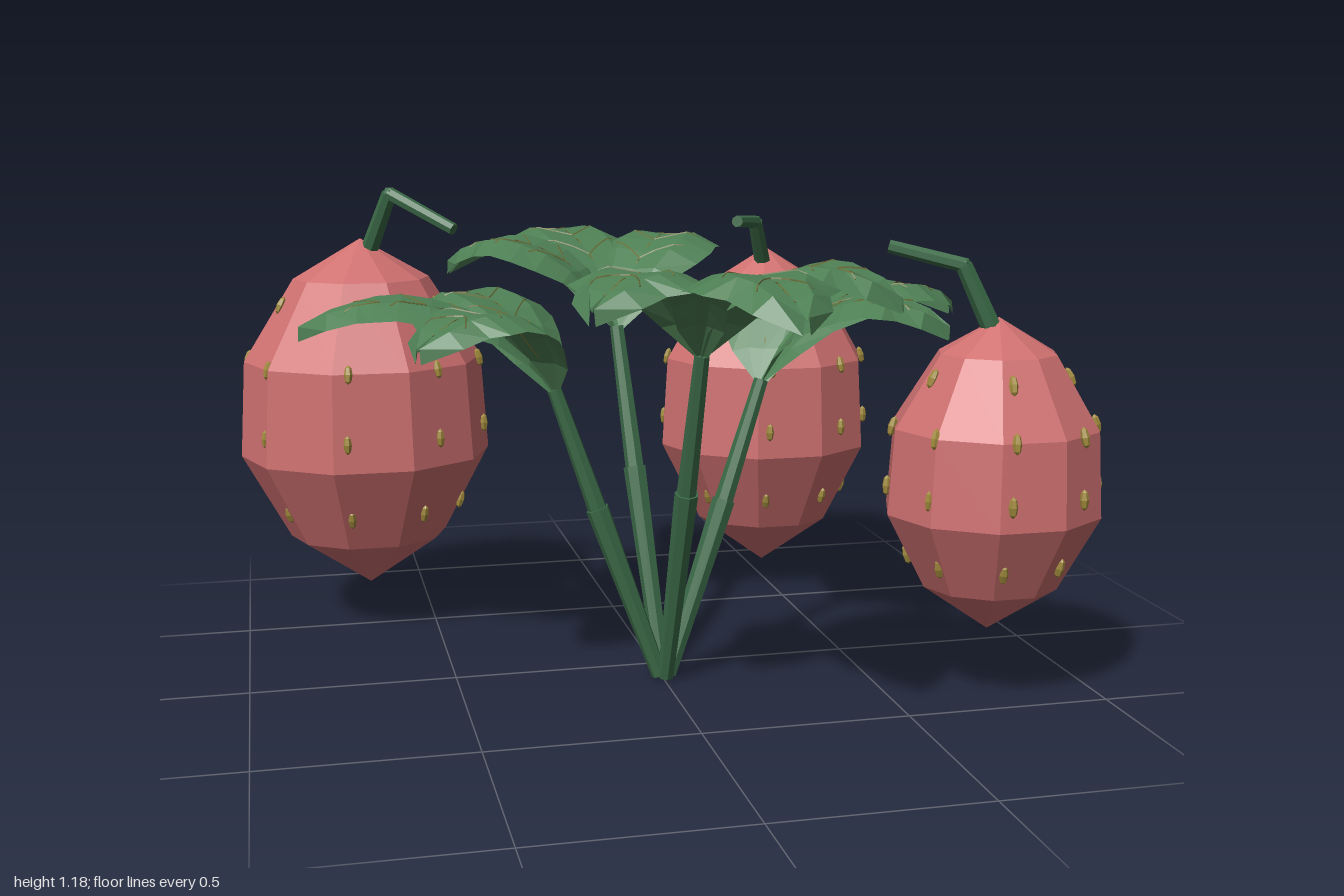
import * as THREE from 'three';
import { mergeGeometries } from 'three/addons/utils/BufferGeometryUtils.js';

const mat = (name, color, side = THREE.FrontSide) => {
  const m = new THREE.MeshStandardMaterial({ color, side });
  m.name = name;
  return m;
};

// Split the faces so every facet gets its own normal
function flat(geometry) {
  const g = geometry.index ? geometry.toNonIndexed() : geometry;
  g.deleteAttribute('uv');
  g.computeVertexNormals();
  return g;
}

function addMesh(parent, name, geometry, material) {
  const m = new THREE.Mesh(flat(geometry), material);
  m.name = name;
  parent.add(m);
  return m;
}

// Tapered rod between two points
function rod(a, b, r0, r1, sides = 7) {
  const dir = b.clone().sub(a);
  const g = new THREE.CylinderGeometry(r1, r0, dir.length(), sides);
  const q = new THREE.Quaternion().setFromUnitVectors(new THREE.Vector3(0, 1, 0), dir.normalize());
  g.applyQuaternion(q);
  const mid = a.clone().add(b).multiplyScalar(0.5);
  return g.translate(mid.x, mid.y, mid.z);
}

// Piecewise linear lookup
function lerpTable(xs, ys, x) {
  let i = 0;
  while (i < xs.length - 2 && x > xs[i + 1]) i++;
  return THREE.MathUtils.lerp(ys[i], ys[i + 1], (x - xs[i]) / (xs[i + 1] - xs[i]));
}

// Leaflet rule: length fraction, half width and height of the midrib
const T = [0, 0.1, 0.22, 0.35, 0.48, 0.6, 0.7, 0.76, 0.88, 1];
const W = [0.012, 0.08, 0.115, 0.15, 0.165, 0.155, 0.15, 0.11, 0.085, 0.008];
const H = [0, 0.08, 0.145, 0.185, 0.208, 0.22, 0.217, 0.21, 0.19, 0.155];
const S = [-1, -0.5, 0, 0.5, 1];

function leafPoint(t, s, length, lift = 0) {
  const w = lerpTable(T, W, t);
  const a = Math.abs(s);
  const bend = (a < 0.5 ? 0.016 * a : 0.008 - 0.07 * (a - 0.5)) * Math.min(1, t * 3);
  return [s * w, lerpTable(T, H, t) + bend + lift, t * length];
}

function leafletBlade(length) {
  const pos = [], idx = [], n = S.length;
  for (const t of T) for (const s of S) pos.push(...leafPoint(t, s, length));
  for (let i = 0; i < T.length - 1; i++) {
    for (let j = 0; j < n - 1; j++) {
      const a = i * n + j, b = a + 1, c = a + n, d = c + 1;
      idx.push(a, c, b, b, c, d);
    }
  }
  const g = new THREE.BufferGeometry();
  g.setAttribute('position', new THREE.Float32BufferAttribute(pos, 3));
  g.setIndex(idx);
  return g;
}

// Midrib and paired side veins lying on the blade
function leafletVeins(length) {
  const parts = [];
  const line = (t0, s0, t1, s1) => {
    const steps = 5;
    for (let i = 0; i < steps; i++) {
      const p = [i / steps, (i + 1) / steps].map(k => new THREE.Vector3(
        ...leafPoint(t0 + (t1 - t0) * k, s0 + (s1 - s0) * k, length, 0.001)));
      parts.push(rod(p[0], p[1], 0.002, 0.002, 3));
    }
  };
  line(0.12, 0, 0.9, 0);
  for (const t of [0.3, 0.5, 0.68]) for (const side of [-1, 1]) line(t, 0, t + 0.13, side * 0.6);
  return mergeGeometries(parts);
}

export function createModel() {
  const root = new THREE.Group();
  root.name = 'berryPlant';
  const berryRed = mat('berry red', 0xcf7070);
  const seedGold = mat('seed gold', 0xa08a3c);
  const stemGreen = mat('stem green', 0x3b6a47);
  const leafGreen = mat('leaf green', 0x4e7f54, THREE.DoubleSide);
  const veinOlive = mat('vein olive', 0x6c6f38);
  const V = (x, y, z) => new THREE.Vector3(x, y, z);

  // Berries: centre, height range, radius and crooked stem
  const profileY = [0, 0.15, 0.39, 0.66, 0.89, 1];
  const profileR = [0, 0.63, 1, 0.95, 0.54, 0];
  const berries = [
    { name: 'leftBackBerry', x: -0.67, z: -0.54, y0: 0.1, y1: 1.04, r: 0.33,
      stem: [V(-0.65, 1.0, -0.53), V(-0.595, 1.16, -0.46), V(-0.445, 1.075, -0.33)] },
    { name: 'backBerry', x: 0.495, z: -0.7, y0: 0.05, y1: 0.98, r: 0.305,
      stem: [V(0.485, 0.92, -0.68), V(0.435, 1.06, -0.6), V(0.335, 1.075, -0.435)] },
    { name: 'frontBerry', x: 0.73, z: 0.4, y0: 0.16, y1: 0.91, r: 0.26,
      stem: [V(0.715, 0.88, 0.4), V(0.645, 1.03, 0.385), V(0.49, 1.07, 0.31)] },
  ];
  for (const b of berries) {
    const group = new THREE.Group();
    group.name = b.name;
    root.add(group);
    const h = b.y1 - b.y0, depth = 0.925;
    const pts = profileY.map((y, i) => new THREE.Vector2(profileR[i] * b.r, y * h));
    const body = new THREE.LatheGeometry(pts, 10);
    body.rotateY(Math.PI / 2).scale(1, 1, depth).translate(b.x, b.y0, b.z);
    addMesh(group, 'berryBody', body, berryRed);

    // Rows of seeds round the skin
    const seeds = [];
    for (const [row, count] of [[0.245, 8], [0.47, 8], [0.66, 8], [0.82, 5]]) {
      for (let i = 0; i < count; i++) {
        const a = (i / count) * Math.PI * 2 - 0.25 + row * 0.1;
        const r = lerpTable(profileY, profileR, row) * b.r * 0.98;
        const seed = new THREE.SphereGeometry(1, 6, 4);
        seed.scale(0.011, 0.025, 0.011).rotateX((row - 0.45) * -1.2).rotateY(a);
        seeds.push(seed.translate(b.x + Math.sin(a) * r, b.y0 + row * h, b.z + Math.cos(a) * r * depth));
      }
    }
    addMesh(group, 'seeds', mergeGeometries(seeds), seedGold);

    const [p, q, e] = b.stem;
    addMesh(group, 'berryStemLower', rod(p, q, 0.024, 0.02), stemGreen);
    addMesh(group, 'berryStemUpper', rod(q, e, 0.018, 0.016), stemGreen);
    addMesh(group, 'berryStemElbow', new THREE.IcosahedronGeometry(0.019, 0).translate(q.x, q.y, q.z), stemGreen);
  }

  // Leaf stalks with sleeves, each carrying three leaflets
  const base = V(0.005, 0, 0.11);
  const leaves = [
    { name: 'frontLeaf', at: V(0.03, 0.83, 0.37), dir: [0.05, 0.6] },
    { name: 'backLeaf', at: V(-0.06, 0.83, -0.14), dir: [-0.12, -0.6] },
    { name: 'leftLeaf', at: V(0.27, 0.71, 0.03), dir: [0.57, -0.18] },
    { name: 'rightLeaf', at: V(-0.255, 0.71, 0.06), dir: [-0.6, -0.08] },
  ];
  for (const leaf of leaves) {
    const group = new THREE.Group();
    group.name = leaf.name;
    root.add(group);
    const out = V(leaf.dir[0], 0, leaf.dir[1]).normalize();
    const foot = base.clone().addScaledVector(out, 0.012);
    const collar = foot.clone().lerp(leaf.at, 0.6);
    addMesh(group, 'stalkSleeve', rod(foot, collar, 0.02, 0.029), stemGreen);
    addMesh(group, 'stalk', rod(collar, leaf.at.clone().add(V(0, 0.01, 0)), 0.024, 0.018), stemGreen);

    const heading = Math.atan2(leaf.dir[0], leaf.dir[1]);
    for (const [name, turn, length, lift] of [
      ['middleLeaflet', 0, 0.6, 0.006], ['sideLeafletA', 0.84, 0.46, 0], ['sideLeafletB', -0.84, 0.46, 0]]) {
      const leaflet = new THREE.Group();
      leaflet.name = name;
      leaflet.position.copy(leaf.at);
      leaflet.position.y += lift;
      leaflet.rotation.y = heading + turn;
      addMesh(leaflet, 'blade', leafletBlade(length), leafGreen);
      addMesh(leaflet, 'veins', leafletVeins(length), veinOlive);
      group.add(leaflet);
    }
  }
  return root;
}
